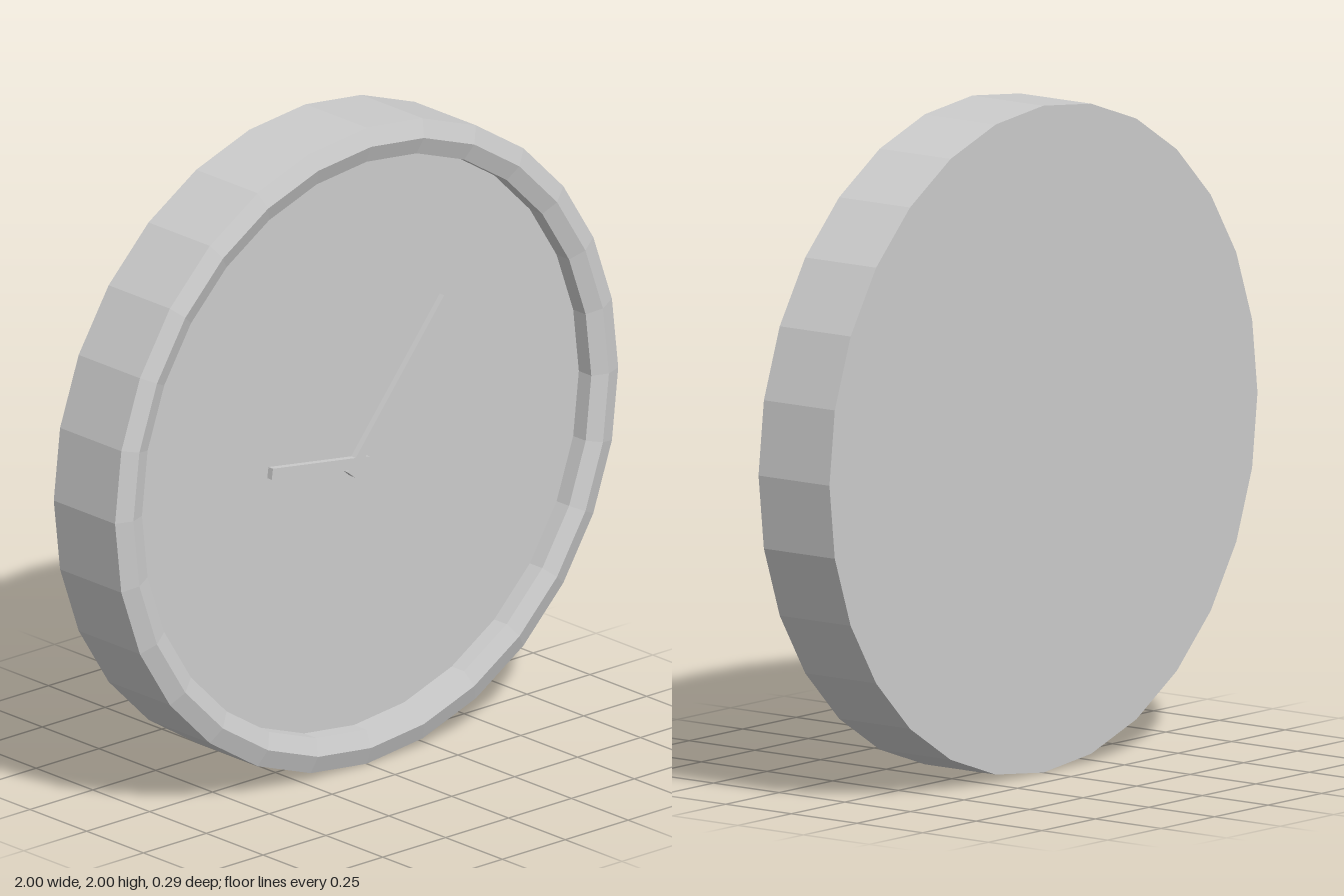
import * as THREE from 'three';

const SIDES = 28;
const FACE_Z = 0.07;

export function createModel() {
  const clock = new THREE.Group();
  clock.name = 'wallClock';
  const material = new THREE.MeshStandardMaterial({ color: 0xcccccc, flatShading: true });

  const add = (name, geometry) => {
    const mesh = new THREE.Mesh(geometry, material);
    mesh.name = name;
    clock.add(mesh);
    return mesh;
  };

  // Case: closed back, straight side, bevelled rim and inner wall (radius, depth)
  const profile = [
    [0, -0.145], [1, -0.145], [1, 0.125], [0.945, 0.145], [0.893, 0.125], [0.893, FACE_Z],
  ].map(([r, z]) => new THREE.Vector2(r, z));
  add('case', new THREE.LatheGeometry(profile, SIDES).rotateX(Math.PI / 2)).position.y = 1;

  // Recessed dial
  add('dial', new THREE.CircleGeometry(0.893, SIDES)).position.set(0, 1, FACE_Z);

  // Hands: flat bars from their tail to their tip
  const addHand = (name, tail, tip) => {
    const dx = tip[0] - tail[0], dy = tip[1] - tail[1];
    const hand = add(name, new THREE.BoxGeometry(Math.hypot(dx, dy), 0.034, 0.03));
    hand.position.set((tail[0] + tip[0]) / 2, (tail[1] + tip[1]) / 2, FACE_Z + 0.005);
    hand.rotation.z = Math.atan2(dy, dx);
  };
  addHand('hourHand', [0.04, 0.93], [-0.343, 0.985]);
  addHand('minuteHand', [-0.03, 0.906], [0.353, 1.369]);

  return clock;
}
